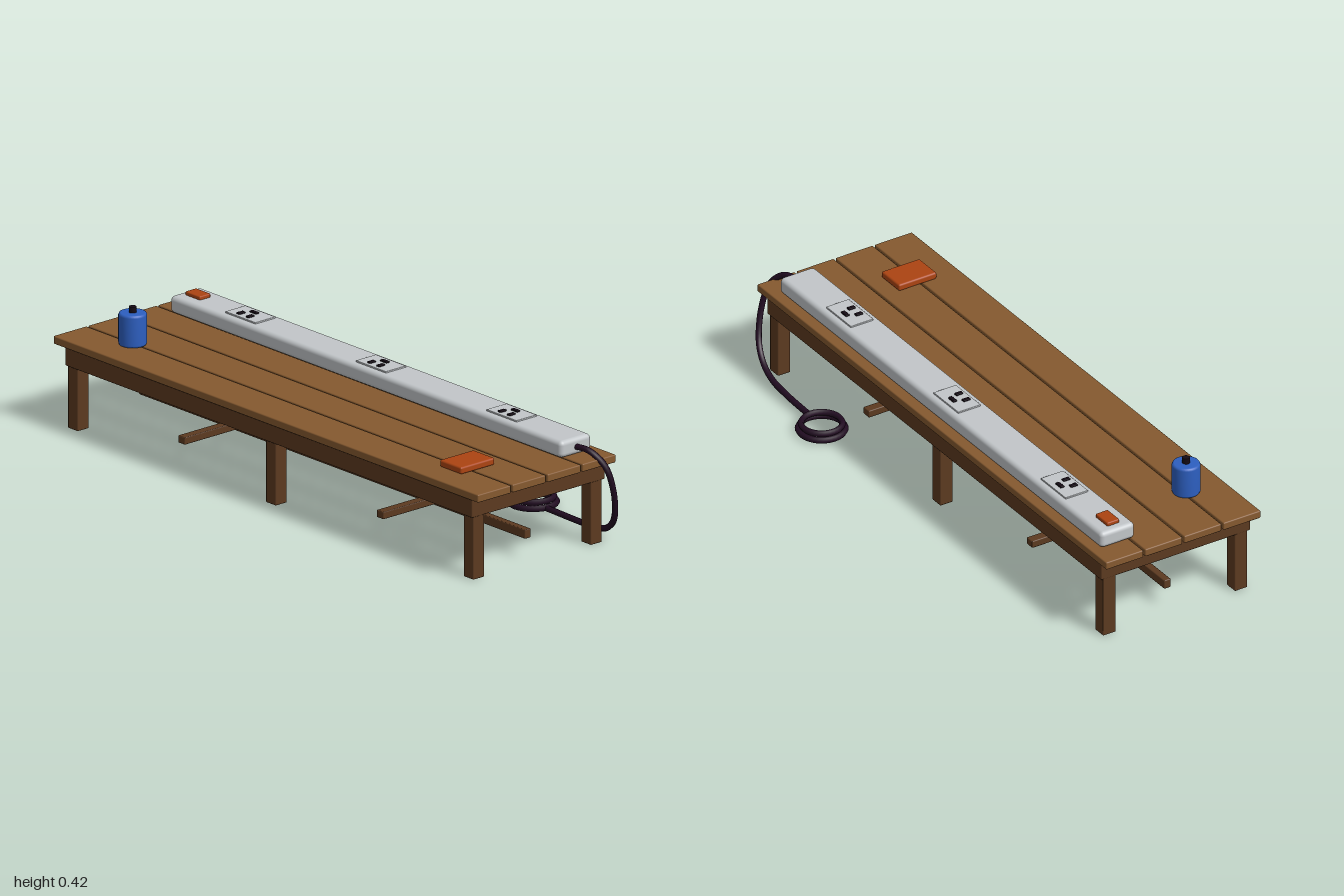
import * as THREE from 'three';
import { RoundedBoxGeometry } from 'three/addons/geometries/RoundedBoxGeometry.js';

const mat = (name, color) => {
  const m = new THREE.MeshStandardMaterial({ color });
  m.name = name;
  return m;
};

export function createModel() {
  const plankWood = mat('plank wood', 0x85592f);
  const frameWood = mat('frame wood', 0x5c3a20);
  const casing = mat('grey casing', 0xc2c6c9);
  const blue = mat('blue', 0x2d5fc0);
  const orange = mat('burnt orange', 0xac4412);
  const cableDark = mat('dark cable', 0x220c22);
  const black = mat('black', 0x140a14);

  const model = new THREE.Group();
  model.name = 'workbench';

  const add = (name, geometry, material, parent = model) => {
    const m = new THREE.Mesh(geometry, material);
    m.name = name;
    parent.add(m);
    return m;
  };
  // Box given by its limits on each axis, with slightly softened edges
  const box = (name, [x0, x1], [y0, y1], [z0, z1], material, r = 0.003, seg = 1, parent = model) => {
    const g = new RoundedBoxGeometry(x1 - x0, y1 - y0, z1 - z0, seg, r);
    g.translate((x0 + x1) / 2, (y0 + y1) / 2, (z0 + z1) / 2);
    return add(name, g, material, parent);
  };

  // Table top: four planks with gaps
  for (let i = 0; i < 4; i++) {
    const x = -0.35 + i * 0.1433;
    box('plank', [x, x + 0.136], [0.266, 0.292], [-1, 0.965], plankWood, 0.004, 2);
  }

  // Apron
  const ay = [0.204, 0.266];
  box('sideApron', [-0.339, -0.314], ay, [-0.957, 0.925], frameWood);
  box('sideApron', [0.181, 0.206], ay, [-0.957, 0.925], frameWood);
  box('endApron', [-0.339, 0.206], ay, [-0.957, -0.932], frameWood);
  box('endApron', [-0.339, 0.206], ay, [0.9, 0.925], frameWood);

  // Six legs
  for (const x of [-0.308, 0.1745]) {
    for (const z of [-0.931, -0.015, 0.899]) {
      box('leg', [x - 0.023, x + 0.023], [0, 0.265], [z - 0.023, z + 0.023], frameWood);
    }
  }

  // Stretchers
  box('longStretcher', [-0.079, -0.055], [0.062, 0.092], [-0.91, 0.877], frameWood);
  for (const z of [-0.475, 0.444]) {
    box('crossStretcher', [-0.29, 0.156], [0.065, 0.089], [z - 0.016, z + 0.016], frameWood);
  }

  // Power strip
  const strip = new THREE.Group();
  strip.name = 'powerStrip';
  model.add(strip);
  box('stripCasing', [0.06, 0.186], [0.292, 0.347], [-0.925, 0.887], casing, 0.015, 4, strip);
  for (const z of [-0.622, -0.018, 0.586]) {
    box('outletPlate', [0.082, 0.165], [0.345, 0.352], [z - 0.07, z + 0.07], casing, 0.002, 1, strip);
    for (const dz of [-0.023, 0.019]) {
      box('outletSlot', [0.093, 0.118], [0.35, 0.357], [z + dz - 0.007, z + dz + 0.007], black, 0.002, 1, strip);
    }
    box('outletSlot', [0.133, 0.147], [0.35, 0.357], [z - 0.015, z + 0.015], black, 0.002, 1, strip);
  }
  box('powerSwitch', [0.1, 0.145], [0.345, 0.359], [-0.897, -0.829], orange, 0.004, 2, strip);

  // Power cable running off the end to the floor
  const path = new THREE.CatmullRomCurve3([
    [0.122, 0.318, 0.87], [0.135, 0.314, 0.935], [0.16, 0.27, 0.978], [0.183, 0.19, 0.99],
    [0.21, 0.09, 0.965], [0.225, 0.042, 0.92], [0.238, 0.018, 0.85], [0.247, 0.013, 0.75],
    [0.253, 0.013, 0.605],
  ].map(p => new THREE.Vector3(...p)));
  add('cable', new THREE.TubeGeometry(path, 64, 0.01, 8), cableDark);

  // Coiled end of the cable
  for (const [R, y] of [[0.073, 0.014], [0.064, 0.032]]) {
    const coil = add('cableCoil', new THREE.TorusGeometry(R, 0.01, 6, 32), cableDark);
    coil.rotation.x = Math.PI / 2;
    coil.position.set(0.264, y, 0.528);
  }

  // Canister with rounded rims and a dark knob
  const canister = new THREE.Group();
  canister.name = 'canister';
  canister.position.set(-0.219, 0.292, -0.78);
  model.add(canister);
  const profile = [[0, 0], [0.037, 0], [0.042, 0.002], [0.0445, 0.008], [0.0445, 0.097],
    [0.042, 0.103], [0.037, 0.105], [0, 0.105]].map(p => new THREE.Vector2(...p));
  add('canisterBody', new THREE.LatheGeometry(profile, 32), blue, canister);
  add('canisterKnob', new THREE.CylinderGeometry(0.012, 0.012, 0.019, 16), black, canister).position.y = 0.114;

  // Small flat block on the table
  box('flatBlock', [-0.264, -0.125], [0.292, 0.315], [0.69, 0.79], orange, 0.006, 2);

  return model;
}
